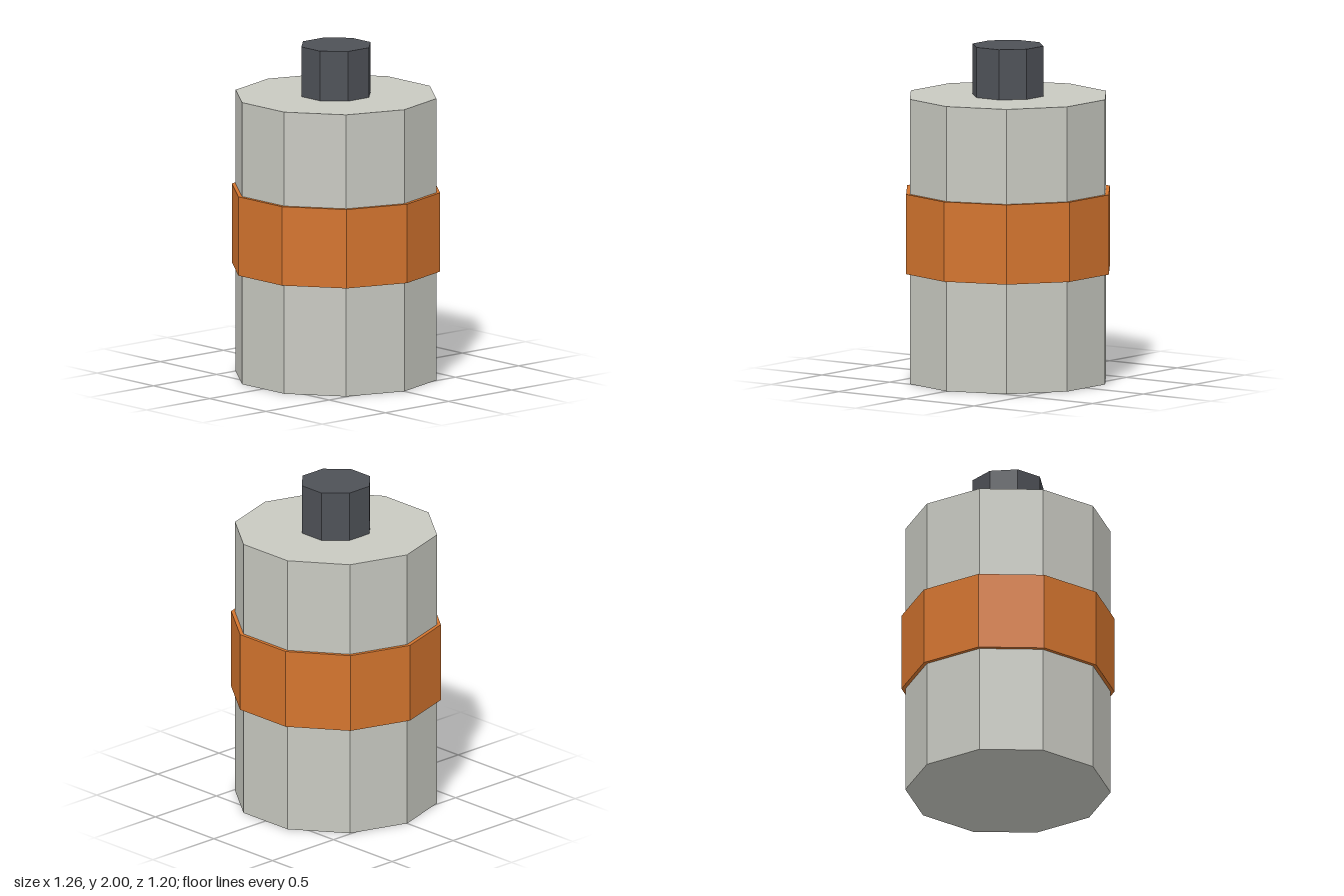
import * as THREE from 'three';

const material = (name, color) => {
  const m = new THREE.MeshStandardMaterial({ color, flatShading: true });
  m.name = name;
  return m;
};

export function createModel() {
  const group = new THREE.Group();
  group.name = 'batteryCell';

  const paleGrey = material('pale grey', 0xc8c9c1);
  const orange = material('orange', 0xd3742e);
  const darkGrey = material('dark grey', 0x4e5157);

  // Upright prism between two heights, first corner at the given angle from +z
  const addPrism = (name, radius, bottom, top, sides, start, mat) => {
    const geometry = new THREE.CylinderGeometry(radius, radius, top - bottom, sides, 1, false, start);
    const mesh = new THREE.Mesh(geometry, mat);
    mesh.name = name;
    mesh.position.y = (bottom + top) / 2;
    group.add(mesh);
  };

  // Ten-sided casing and band, corners on the x axis
  addPrism('casing', 0.607, 0, 1.7, 10, Math.PI / 2, paleGrey);
  addPrism('band', 0.63, 0.657, 1.133, 10, Math.PI / 2, orange);

  // Eight-sided terminal, flats facing x and z
  addPrism('terminal', 0.2165, 1.7, 2, 8, Math.PI / 8, darkGrey);

  return group;
}
